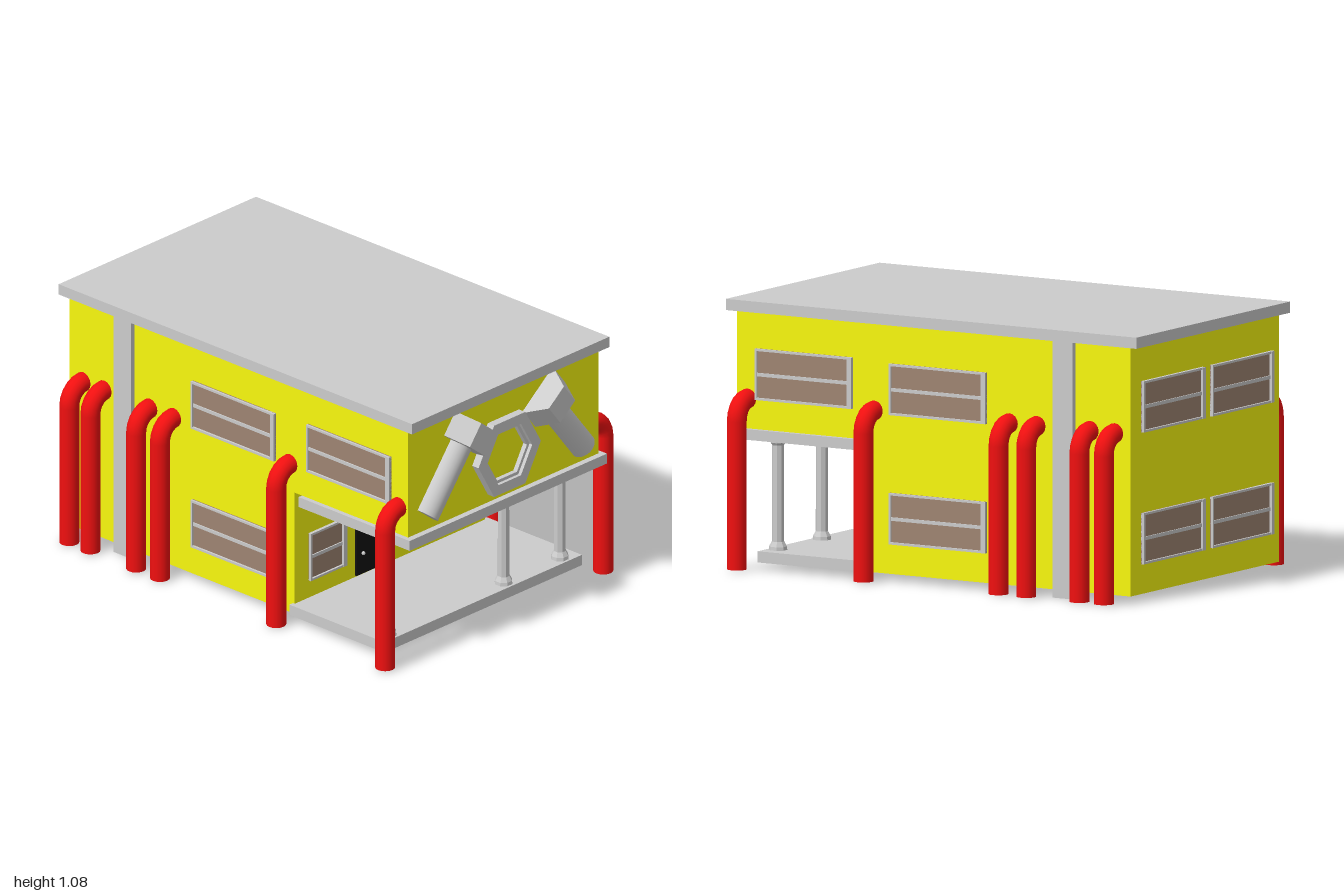
import * as THREE from 'three';

const mat = (color, flatShading = false) => new THREE.MeshStandardMaterial({ color, flatShading });
const grey = mat(0xcccccc), greyFlat = mat(0xcccccc, true);
const yellow = mat(0xf8f80e), red = mat(0xf01010), brown = mat(0x9e8472), black = mat(0x111111);

function add(parent, name, geometry, material, x = 0, y = 0, z = 0) {
  const mesh = new THREE.Mesh(geometry, material);
  mesh.name = name;
  mesh.position.set(x, y, z);
  parent.add(mesh);
  return mesh;
}

// Box given by its low and high corners
function box(parent, name, material, [x0, y0, z0], [x1, y1, z1]) {
  return add(parent, name, new THREE.BoxGeometry(x1 - x0, y1 - y0, z1 - z0), material,
    (x0 + x1) / 2, (y0 + y1) / 2, (z0 + z1) / 2);
}

function group(parent, name, x, y, z, turn = 0) {
  const g = new THREE.Group();
  g.name = name;
  g.position.set(x, y, z);
  g.rotation.y = turn;
  parent.add(g);
  return g;
}

// Window facing +z, centred on its own origin
function addWindow(parent, w, x, y, z, turn) {
  const g = group(parent, 'window', x, y, z, turn);
  const a = w / 2, h = 0.103, t = 0.009, d = 0.014;
  box(g, 'windowPane', brown, [-a, -h, -0.01], [a, h, 0.005]);
  box(g, 'frameTop', grey, [-a, h - t, -0.01], [a, h, d]);
  box(g, 'frameBottom', grey, [-a, -h, -0.01], [a, -h + t, d]);
  box(g, 'frameLeft', grey, [-a, -h, -0.01], [-a + t, h, d]);
  box(g, 'frameRight', grey, [a - 0.02, -h, -0.01], [a, h, d + 0.002]);
  box(g, 'crossBar', grey, [-a, -0.008, -0.01], [a, 0.006, 0.01]);
}

// Drain pipe on the +x side: straight run and quarter bend into the wall
function addPipe(parent, z, turn) {
  const g = group(parent, 'drainPipe', 0, 0, z, turn);
  add(g, 'pipeRun', new THREE.CylinderGeometry(0.04, 0.04, 0.595, 16), red, 0.63, 0.3025, 0);
  add(g, 'pipeBend', new THREE.TorusGeometry(0.08, 0.04, 16, 5, Math.PI / 2), red, 0.55, 0.6, 0);
}

function hexagon(r, PathClass) {
  const pts = [];
  for (let i = 0; i < 6; i++) {
    const a = i * Math.PI / 3;
    pts.push(new THREE.Vector2(r * Math.cos(a), r * Math.sin(a)));
  }
  return new PathClass(pts);
}

function hexRing(outer, inner, depth) {
  const shape = hexagon(outer, THREE.Shape);
  shape.holes.push(hexagon(inner, THREE.Path));
  return new THREE.ExtrudeGeometry(shape, { depth, bevelEnabled: false });
}

export function createModel() {
  const model = new THREE.Group();
  model.name = 'building';

  // Walls: L-shaped side profile, the upper floor hanging over the porch
  const profile = new THREE.Shape([
    [-0.96, 0.03], [0.27, 0.03], [0.27, 0.56], [0.89, 0.56], [0.89, 1.03], [-0.96, 1.03],
  ].map(([z, y]) => new THREE.Vector2(z, y)));
  const walls = new THREE.ExtrudeGeometry(profile, { depth: 1.1, bevelEnabled: false });
  walls.rotateY(-Math.PI / 2).translate(0.55, 0, 0);
  add(model, 'walls', walls, yellow);

  // Slabs
  box(model, 'roof', grey, [-0.57, 1.03, -1], [0.57, 1.075, 0.93]);
  box(model, 'porchCeiling', grey, [-0.57, 0.517, 0.31], [0.57, 0.56, 0.917]);
  box(model, 'porchFloor', grey, [-0.57, 0.029, 0.26], [0.57, 0.074, 0.78]);
  box(model, 'underFloor', grey, [-0.545, 0.027, -0.62], [0.545, 0.06, 0.26]);

  // Sides: wall pillar, windows and drain pipes
  for (const s of [1, -1]) {
    box(model, 'wallPillar', grey, [s * 0.522 - 0.048, 0, -0.7], [s * 0.522 + 0.048, 1.03, -0.605]);
    for (const [z, y] of [[0.572, 0.782], [-0.058, 0.772], [-0.058, 0.253]])
      addWindow(model, 0.455, s * 0.55, y, z, s * Math.PI / 2);
    for (const z of [0.84, 0.245, -0.39, -0.52, -0.77, -0.885])
      addPipe(model, z, s > 0 ? 0 : Math.PI);
  }

  // Back and front windows
  for (const x of [0.245, -0.265])
    for (const y of [0.253, 0.782]) addWindow(model, 0.455, x, y, -0.96, Math.PI);
  addWindow(model, 0.208, -0.367, 0.253, 0.27, 0);
  addWindow(model, 0.395, 0.255, 0.253, 0.27, 0);

  // Door
  box(model, 'door', black, [-0.2, 0.08, 0.26], [-0.03, 0.31, 0.278]);
  add(model, 'doorKnob', new THREE.SphereGeometry(0.008, 12, 8), grey, -0.167, 0.171, 0.284);

  // Porch columns with flared feet and heads
  const columnProfile = [[0, 0.07], [0.038, 0.07], [0.036, 0.088], [0.025, 0.108], [0.024, 0.495],
    [0.031, 0.505], [0.031, 0.52], [0, 0.52]].map(([r, y]) => new THREE.Vector2(r, y));
  for (const x of [-0.505, 0.165, 0.49]) {
    const column = add(model, 'porchColumn', new THREE.LatheGeometry(columnProfile, 8), greyFlat, x, 0, 0.735);
    column.rotation.y = Math.PI / 8;
  }

  // Large hexagonal nut with a thin inner lip
  add(model, 'nut', hexRing(0.18, 0.13, 0.045), greyFlat, 0, 0.75, 0.88);
  add(model, 'nutLip', hexRing(0.135, 0.115, 0.03), greyFlat, 0, 0.75, 0.88);

  // Pair of bolts leaning towards the nut
  for (const s of [1, -1]) {
    const bolt = group(model, 'bolt', s * 0.228, 0.914, 0.9);
    bolt.rotation.z = s * 0.665;
    add(bolt, 'boltShaft', new THREE.CylinderGeometry(0.055, 0.055, 0.364, 24), grey, 0, -0.182, -0.007);
    const head = add(bolt, 'boltHead', new THREE.CylinderGeometry(0.11, 0.11, 0.106, 6), greyFlat);
    head.rotation.y = Math.PI / 6;
  }
  return model;
}
